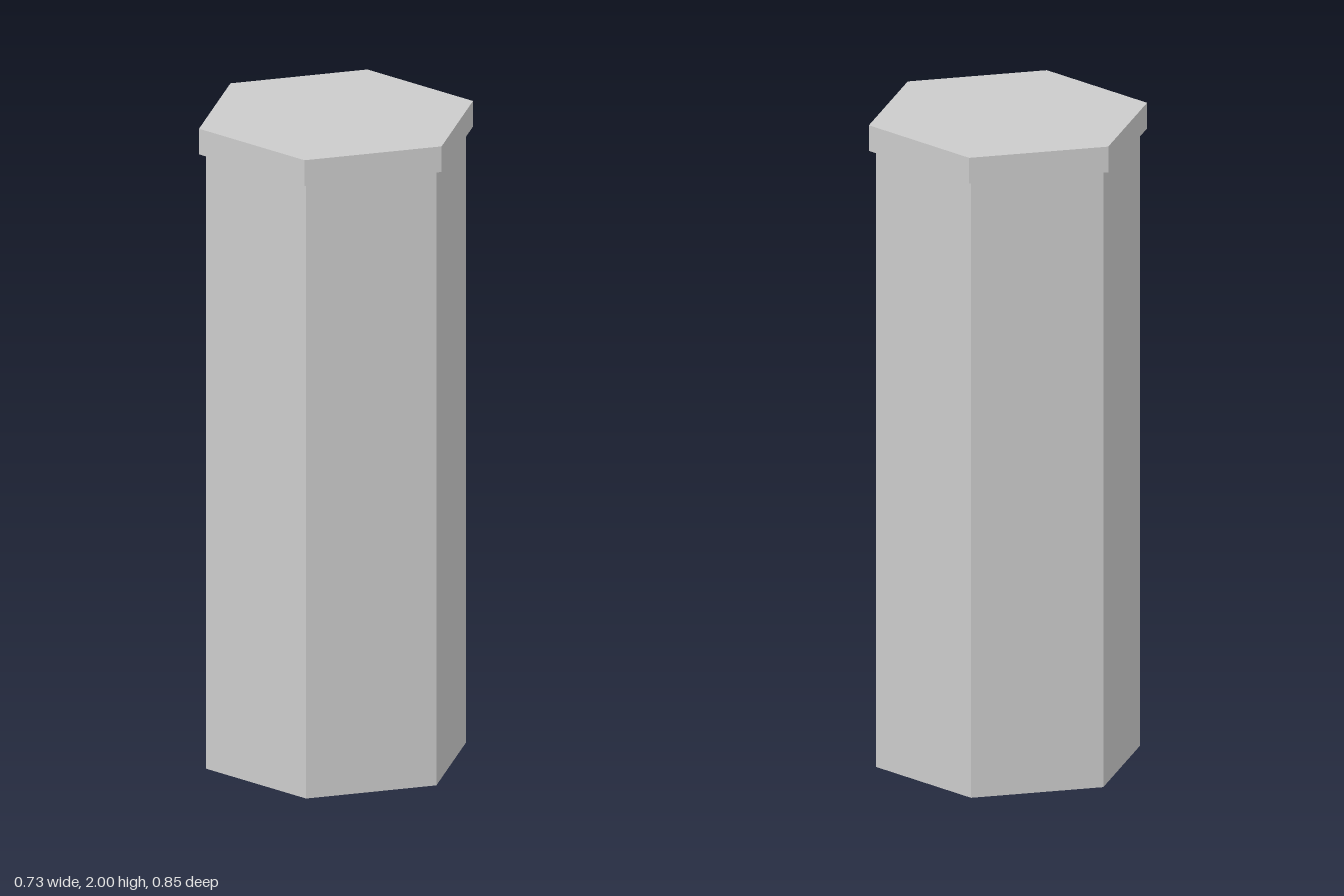
import * as THREE from 'three';

const material = new THREE.MeshStandardMaterial({ color: 0xcccccc, flatShading: true });

// Upright hexagonal prism with a corner facing the front
function hexPrism(name, radius, bottom, top) {
  const geometry = new THREE.CylinderGeometry(radius, radius, top - bottom, 6);
  const mesh = new THREE.Mesh(geometry, material);
  mesh.name = name;
  mesh.position.y = (bottom + top) / 2;
  return mesh;
}

export function createModel() {
  const model = new THREE.Group();
  model.name = 'hexagonalColumn';
  const capBottom = 1.92;

  // Tall shaft, topped by a slightly wider slab
  model.add(hexPrism('shaft', 0.403, 0, capBottom));
  model.add(hexPrism('cap', 0.424, capBottom, 2));
  return model;
}
